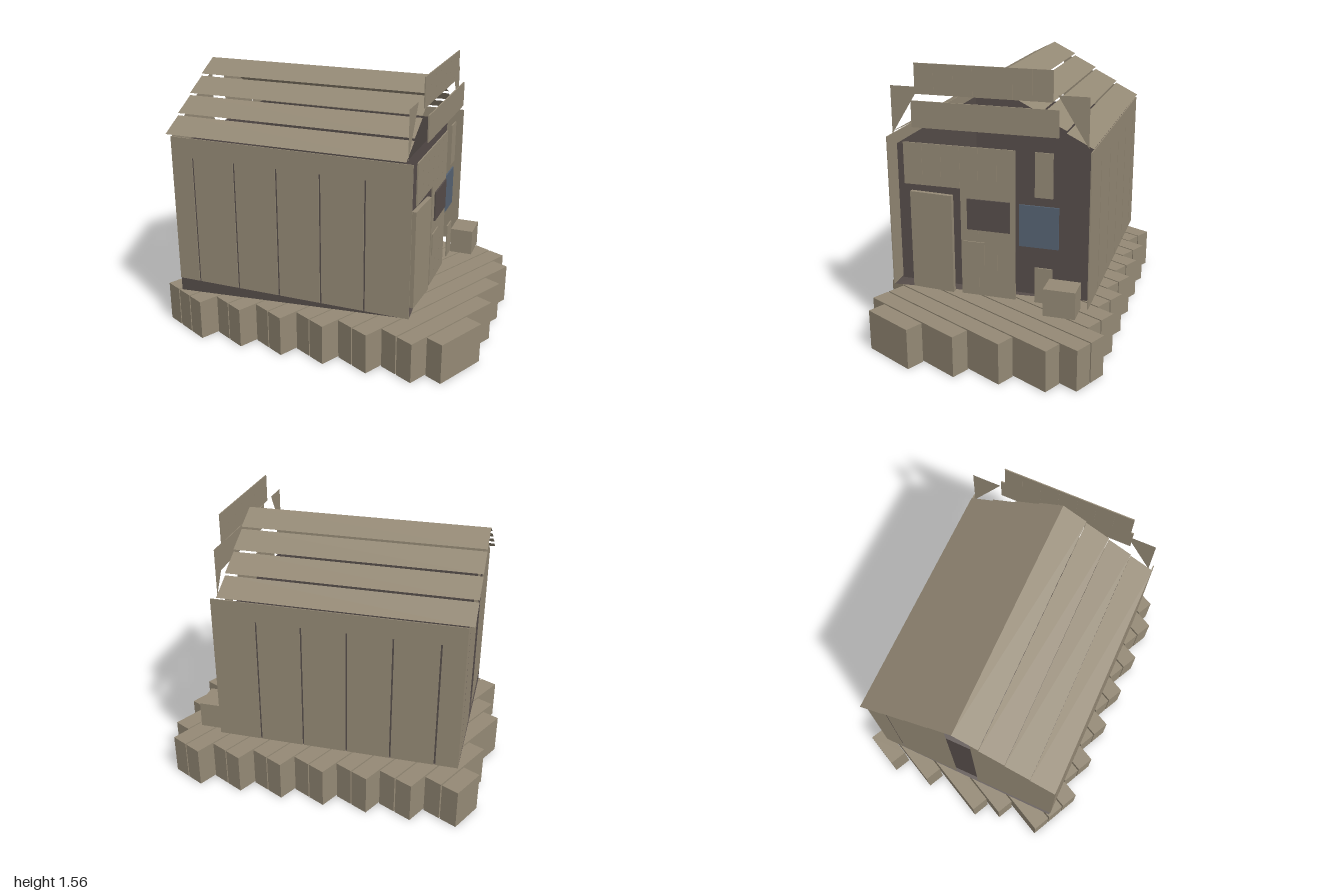
import * as THREE from 'three';

const mat = (name, color) => {
  const m = new THREE.MeshStandardMaterial({ color, side: THREE.DoubleSide });
  m.name = name;
  return m;
};

export function createModel() {
  const wood = mat('weathered wood', 0x948975);
  const dark = mat('dark interior', 0x564d4a);
  const blue = mat('window blue', 0x566373);
  const model = new THREE.Group();
  model.name = 'shack';

  const add = (parent, name, geo, material, x = 0, y = 0, z = 0) => {
    const m = new THREE.Mesh(geo, material);
    m.name = name;
    m.position.set(x, y, z);
    parent.add(m);
    return m;
  };
  // box given by its two extents on each axis
  const box = (parent, name, material, x0, x1, y0, y1, z0, z1) =>
    add(parent, name, new THREE.BoxGeometry(x1 - x0, y1 - y0, z1 - z0), material,
      (x0 + x1) / 2, (y0 + y1) / 2, (z0 + z1) / 2);
  // flat polygon standing in the x-y plane
  const panel = (parent, name, material, pts, z) =>
    add(parent, name, new THREE.ShapeGeometry(
      new THREE.Shape(pts.map(p => new THREE.Vector2(p[0], p[1])))), material, 0, 0, z);
  const rect = (parent, name, material, x0, x1, y0, y1, z) =>
    panel(parent, name, material, [[x0, y0], [x1, y0], [x1, y1], [x0, y1]], z);

  // Stepped base of plank rows: left and right ends, back to front
  const base = new THREE.Group();
  base.name = 'base';
  model.add(base);
  const rows = [[0, .21], [-.22, .21], [-.55, .33], [-.66, .33], [-.88, .44], [-.88, .44],
    [-.88, .55], [-.77, .55], [-.77, .66], [-.66, .66], [-.66, .77], [-.55, .77],
    [-.55, .88], [-.44, .88], [-.44, .77], [-.33, .55], [-.33, .33], [-.22, .1]];
  rows.forEach(([l, r], i) => {
    const z = -1 + i * 2 / 18;
    box(base, 'basePlank', wood, l, r, 0, .23, z + .004, z + .107);
  });

  // House, turned on the base
  const house = new THREE.Group();
  house.name = 'house';
  house.position.set(-.0825, 0, -.0975);
  house.rotation.y = .467;
  model.add(house);

  // Side walls: boards with narrow gaps below a solid strip
  const cuts = [-.65, -.522, -.274, -.027, .22, .468, .716];
  for (const s of [-1, 1]) {
    const x = s * .552;
    for (let i = 0; i < cuts.length - 1; i++) {
      box(house, 'sideBoard', wood, x - .003, x + .003, .31, 1.05,
        cuts[i] + (i ? .005 : 0), cuts[i + 1] - (i < 5 ? .005 : 0));
    }
    box(house, 'sideTopStrip', wood, x - .003, x + .003, 1.05, 1.16, -.65, .716);
  }

  // Dark inner shell, with a floor that sags at one back corner
  rect(house, 'frontLining', dark, -.54, .54, .31, 1.1, .62);
  rect(house, 'backLining', dark, -.54, .54, .31, 1.1, -.635);
  for (const s of [-1, 1]) {
    const lining = rect(house, 'sideLining', dark, -.62, .635, .31, 1.1, 0);
    lining.rotation.y = Math.PI / 2;
    lining.position.x = s * .54;
  }
  const quad = (name, a, b, c, d) => {
    const g = new THREE.BufferGeometry();
    g.setAttribute('position', new THREE.Float32BufferAttribute([...a, ...b, ...c, ...a, ...c, ...d], 3));
    g.computeVertexNormals();
    add(house, name, g, dark);
  };
  quad('floor', [-.55, .31, .716], [.55, .31, .62], [.55, .31, -.65], [-.55, .23, -.65]);
  quad('sagSkirt', [-.55, .31, .716], [-.55, .31, .7], [-.55, .31, -.65], [-.55, .23, -.65]);

  // Back gable boards, with an opening in the middle
  const gableY = x => 1.15 + .32 * (1 - Math.abs(x) / .555);
  for (const [a, b] of [[-.55, -.07], [.07, .428], [.432, .55]]) {
    panel(house, 'backBoard', wood, [[a, .31], [b, .31], [b, gableY(b)], [a, gableY(a)]], -.65);
  }

  // Roof: four stepped strips on each slope
  const stripW = .555 / 4, rise = .07;
  for (const s of [-1, 1]) {
    for (let i = 0; i < 4; i++) {
      const g = new THREE.PlaneGeometry(Math.hypot(stripW, rise), 1.36);
      g.rotateX(-Math.PI / 2);
      const strip = add(house, 'roofStrip', g, wood,
        s * (.555 - (i + .5) * stripW), 1.17 + .0825 * i + rise / 2, 0);
      strip.rotation.z = -s * Math.atan2(rise, stripW);
    }
  }

  // False front: two sign boards and corner wings
  for (let i = 0; i < 7; i++) {
    const x = -.38 + i * .105;
    box(house, 'upperSignBoard', wood, x, x + .1045, 1.4, 1.56, .711, .717);
  }
  box(house, 'lowerSign', wood, -.392, .392, 1.23, 1.37, .738, .745);
  for (const s of [-1, 1]) {
    panel(house, 'cornerWing', wood, [[s * .532, 1.43], [s * .37, 1.43], [s * .532, 1.17]], .682);
  }

  // Facade boards
  for (let i = 0; i < 3; i++) {
    const x = -.145 + i * .101, u = -.46 + i * .105;
    box(house, 'frontBoard', wood, x, x + .1, .31, 1.14, .709, .716);
    box(house, 'overDoorBoard', wood, u, u + .104, .91, 1.14, .709, .716);
  }
  box(house, 'overWindowBoard', wood, .262, .358, .9, 1.14, .709, .716);
  box(house, 'underWindowBoard', wood, .262, .358, .31, .51, .709, .716);

  // Door, slightly ajar
  const door = box(house, 'door', wood, -.435, -.192, .31, .865, .69, .715);
  door.rotation.y = -.07;

  // Notice, handle plate and window
  box(house, 'notice', dark, -.106, .13, .69, .86, .718, .726);
  box(house, 'handlePlate', wood, -.13, -.012, .49, .62, .717, .723);
  box(house, 'window', blue, .176, .388, .62, .85, .699, .707);

  // Crate at the front corner
  const crate = add(model, 'crate', new THREE.BoxGeometry(.17, .15, .132), wood, .655, .385, .41);
  crate.rotation.y = .467;

  return model;
}
